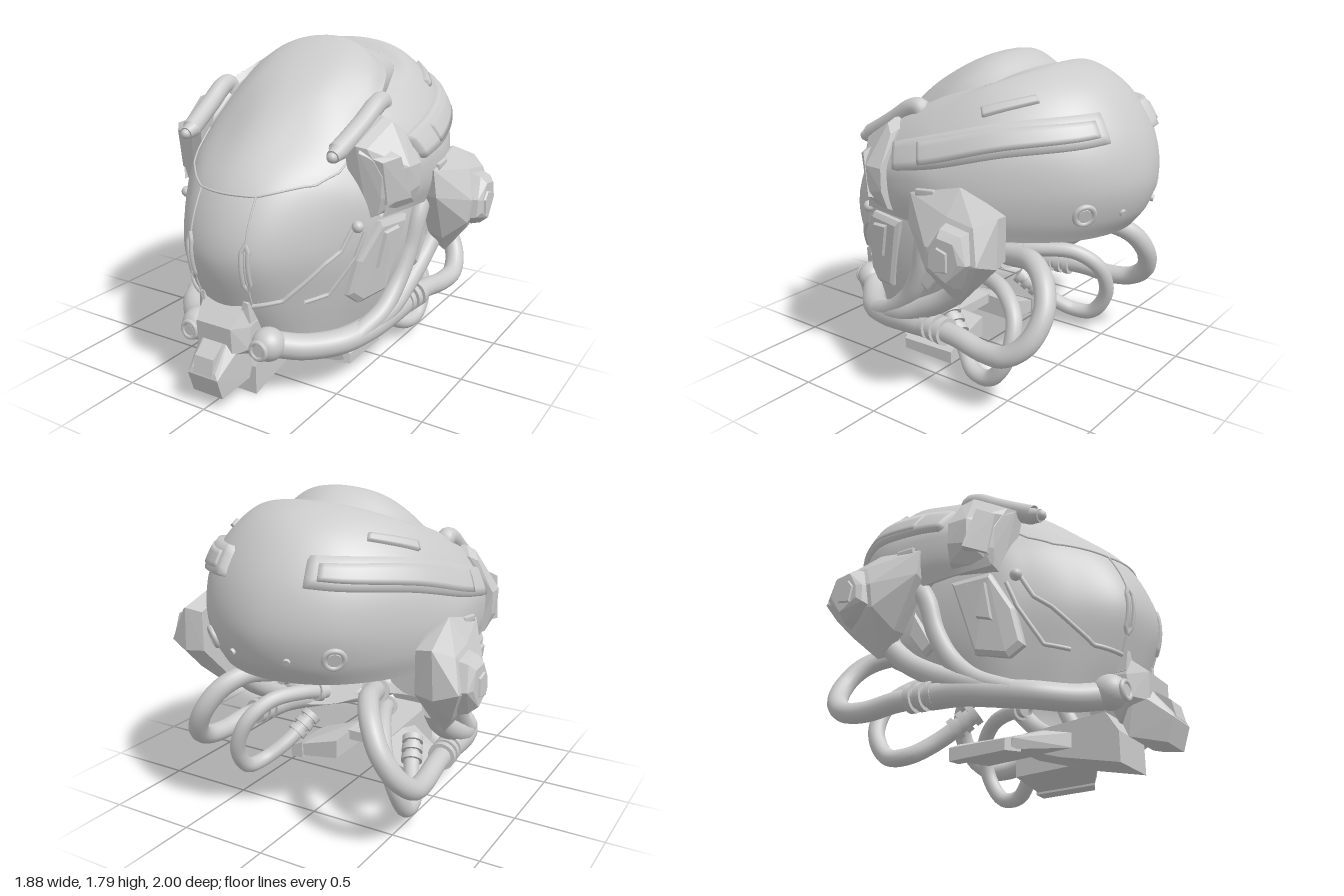
import * as THREE from 'three';
import { ConvexGeometry } from 'three/addons/geometries/ConvexGeometry.js';

const mat = new THREE.MeshStandardMaterial({ color: 0xcccccc, side: THREE.DoubleSide });
const V = (x, y, z) => new THREE.Vector3(x, y, z);
const vecs = (pts) => pts.map((p) => V(...p));
const CENTRE = V(0, 1, -0.1);
const { clamp, lerp } = THREE.MathUtils;

function add(parent, name, geometry) {
  const mesh = new THREE.Mesh(geometry, mat);
  mesh.name = name;
  parent.add(mesh);
  return mesh;
}

// Smooth symmetric surface through columns of points: u counts columns from the middle, v counts rows
function surface(columns) {
  const curves = columns.map((c) => new THREE.CatmullRomCurve3(vecs(c)));
  const n = columns.length - 1, rows = columns[0].length - 1;
  const at = (u, v) => {
    const half = curves.map((c) => c.getPoint(clamp(v / rows, 0, 1)));
    const other = half.slice(1).reverse().map((p) => V(-p.x, p.y, p.z));
    return new THREE.CatmullRomCurve3([...other, ...half]).getPoint(clamp((u + n) / (2 * n), 0, 1));
  };
  const normal = (u, v) => {
    const e = 0.03, p = at(u, v);
    const m = at(u + e, v).sub(at(u - e, v)).cross(at(u, v + e).sub(at(u, v - e))).normalize();
    return m.dot(p.sub(CENTRE)) < 0 ? m.negate() : m;
  };
  const off = (u, v, h) => at(u, v).addScaledVector(normal(u, v), h);
  return { at, normal, off, n, rows };
}

// Grid mesh from a function of two parameters in 0..1
function grid(fn, nu, nv, flip = false) {
  const pos = [], idx = [];
  for (let j = 0; j <= nv; j++) for (let i = 0; i <= nu; i++) pos.push(...fn(i / nu, j / nv).toArray());
  for (let j = 0; j < nv; j++) for (let i = 0; i < nu; i++) {
    const a = j * (nu + 1) + i, b = a + 1, c = a + nu + 1, d = c + 1;
    idx.push(...(flip ? [a, c, b, b, c, d] : [a, b, c, b, d, c]));
  }
  const g = new THREE.BufferGeometry();
  g.setAttribute('position', new THREE.Float32BufferAttribute(pos, 3));
  g.setIndex(idx);
  g.computeVertexNormals();
  return g;
}

// Plate standing proud of a surface with a steep border; top and bottom rows run from one end to the other
function raised(s, u0, u1, top, bottom, h, nu = 24, nv = 6) {
  const step = (t, n) => clamp((t * n - 1) / (n - 2), 0, 1);
  return grid((a, b) => {
    const edge = a === 0 || a === 1 || b === 0 || b === 1;
    const ta = edge ? a * 1.02 - 0.01 : 0.01 + step(a, nu) * 0.98;
    const tb = edge ? b * 1.1 - 0.05 : 0.03 + step(b, nv) * 0.94;
    return s.off(lerp(u0, u1, ta), lerp(lerp(...top, ta), lerp(...bottom, ta), tb), edge ? -0.01 : h);
  }, nu, nv);
}

const path = (pts) => new THREE.CatmullRomCurve3(vecs(pts));
const tube = (curve, r, seg = 48, sides = 14, closed = false) => new THREE.TubeGeometry(curve, seg, r, sides, closed);

// Thin bead that follows a surface through straight u,v runs
function bead(s, uv, r, closed = false) {
  const pts = [], list = closed ? [...uv, uv[0]] : uv;
  for (let i = 0; i < list.length - 1; i++) for (let k = 0; k < 6; k++) {
    const [u0, v0] = list[i], [u1, v1] = list[i + 1];
    pts.push(s.off(lerp(u0, u1, k / 6), lerp(v0, v1, k / 6), r * 0.4));
  }
  if (!closed) pts.push(s.off(...list.at(-1), r * 0.4));
  return tube(new THREE.CatmullRomCurve3(pts, closed), r, pts.length * 2, 6, closed);
}

// Faceted block from side outlines [z, y], each at its own x (number or rule)
const xAt = (x, z, y) => (typeof x === 'function' ? x(z, y) : x);
const layer = (poly, x) => poly.map(([z, y]) => V(xAt(x, z, y), y, z));
const both = (poly, x) => [...layer(poly, x), ...layer(poly, -x)];
const block = (...layers) => new ConvexGeometry(layers.flat());
const lift = (fn, d) => (z, y) => fn(z, y) + d;
const shrink = (poly, k) => {
  const c = [0, 1].map((i) => poly.reduce((t, p) => t + p[i], 0) / poly.length);
  return poly.map((p) => p.map((q, i) => c[i] + (q - c[i]) * k));
};

// Short cylinder, and a ring, facing along a direction
const Y = V(0, 1, 0), Z = V(0, 0, 1);
function disc(parent, name, p, dir, r, len, r2 = r) {
  const m = add(parent, name, new THREE.CylinderGeometry(r2, r, len, 24));
  m.position.copy(p);
  m.quaternion.setFromUnitVectors(Y, dir);
}
function ring(parent, name, p, dir, r, t) {
  const m = add(parent, name, new THREE.TorusGeometry(r, t, 8, 28));
  m.position.copy(p);
  m.quaternion.setFromUnitVectors(Z, dir);
}

export function createModel() {
  const model = new THREE.Group();
  model.name = 'helmet';

  // Rear shell: columns run from the arch over the visor down to the lower rim
  const shell = surface([
    [[0, 1.73, -.43], [0, 1.76, -.53], [0, 1.68, -.75], [0, 1.44, -.94], [0, 1.2, -1], [0, 1.03, -.96], [0, .92, -.88]],
    [[.2, 1.71, -.38], [.24, 1.735, -.49], [.29, 1.63, -.69], [.34, 1.42, -.835], [.35, 1.2, -.88], [.34, 1.03, -.84], [.32, .92, -.78]],
    [[.38, 1.66, -.28], [.44, 1.66, -.33], [.535, 1.55, -.44], [.615, 1.38, -.51], [.635, 1.2, -.53], [.62, 1.05, -.52], [.585, .93, -.49]],
    [[.47, 1.59, -.07], [.55, 1.54, -.1], [.645, 1.44, -.14], [.72, 1.3, -.2], [.735, 1.2, -.25], [.725, 1.07, -.25], [.685, .95, -.25]],
    [[.52, 1.47, .18], [.58, 1.43, .16], [.66, 1.35, .1], [.725, 1.25, .05], [.735, 1.17, .03], [.725, 1.07, .03], [.69, .97, .03]],
    [[.55, 1.32, .4], [.6, 1.29, .37], [.64, 1.25, .34], [.67, 1.18, .31], [.68, 1.13, .3], [.67, 1.06, .3], [.65, .98, .32]],
  ]);
  // Visor and lower face: columns run from under the arch down to the chin
  const face = surface([
    [[0, 1.72, -.42], [0, 1.8, -.22], [0, 1.64, .2], [0, 1.38, .53], [0, 1.12, .78], [0, .82, .885], [0, .55, .82], [0, .3, .7]],
    [[.2, 1.69, -.36], [.2, 1.765, -.18], [.21, 1.61, .18], [.21, 1.36, .47], [.21, 1.12, .72], [.21, .82, .83], [.2, .55, .76], [.17, .3, .66]],
    [[.36, 1.63, -.25], [.36, 1.655, -.1], [.36, 1.52, .16], [.38, 1.31, .4], [.39, 1.12, .56], [.39, .82, .64], [.36, .55, .6], [.31, .28, .55]],
    [[.45, 1.55, -.04], [.45, 1.5, .05], [.46, 1.4, .17], [.48, 1.25, .33], [.5, 1.08, .44], [.51, .82, .46], [.48, .55, .42], [.42, .27, .38]],
    [[.51, 1.43, .17], [.51, 1.38, .2], [.525, 1.3, .24], [.55, 1.18, .28], [.59, 1.04, .3], [.61, .84, .27], [.59, .58, .24], [.53, .32, .18]],
    [[.56, 1.3, .1], [.57, 1.26, .08], [.59, 1.2, .05], [.62, 1.1, .02], [.64, 1, -.05], [.65, .88, -.2], [.64, .74, -.28], [.58, .52, -.08]],
  ]);
  const whole = (s) => (a, b) => s.at((a * 2 - 1) * s.n, b * s.rows);
  add(model, 'rearShell', grid(whole(shell), 80, 44));
  add(model, 'visorAndFace', grid(whole(face), 80, 56, true));
  add(model, 'archRim', grid((a, b) => shell.at(a * 10 - 5, 0).lerp(face.at(a * 10 - 5, 0.15), b), 60, 2, true));
  add(model, 'lowerRim', grid((a, b) => {
    const p = shell.at(a * 10 - 5, 6);
    return V(p.x * (1 - .06 * b), p.y + .02 * b, p.z * (1 - .06 * b));
  }, 60, 1));
  add(model, 'visorSeam', bead(face, [[-3, 2.7], [-2.6, 3.4], [-2, 3.8], [-.8, 4], [.8, 4], [2, 3.8], [2.6, 3.4], [3, 2.7]], .006));

  // Snout, muzzle and tongue under the chin
  add(model, 'snout', block(both([[.7, .53], [.8, .54]], .135), both([[.7, .46], [.8, .44], [.7, .3], [.82, .32]], .165), both([[.9, .45], [.89, .3], [.72, .22]], .11)));
  add(model, 'muzzle', block(both([[.86, .4], [.99, .23]], .075), both([[1, .2], [.96, .08], [.85, .1]], .095), both([[.82, .36], [.75, .2], [.78, .13]], .135)));
  add(model, 'muzzleCap', block(both([[.9, .36], [.98, .3], [1, .21], [.9, .25]], .06)));
  add(model, 'tongue', block(both([[.73, .17], [.73, .01], [.4, .09], [.1, .19], [.1, .25], [.66, .28]], .14)));

  const side = new THREE.Group();
  side.name = 'leftSide';
  model.add(side);

  // Shell trim and ports
  add(side, 'sideStripe', raised(shell, .66, 4, [2.5, 1.95], [3.05, 3.15], .03, 40));
  add(side, 'stripeInsert', raised(shell, .8, 3.3, [2.62, 2.25], [2.94, 3], .037, 36));
  add(side, 'upperSlot', raised(shell, 1.4, 2.2, [1.78, 1.68], [1.98, 1.98], .016));
  add(side, 'lowerSlot', raised(shell, 3.1, 3.5, [4.1, 4.1], [4.4, 4.4], .016));
  ring(side, 'rearPort', shell.off(1.05, 4.7, .005), shell.normal(1.05, 4.7), .05, .014);
  disc(side, 'rearPortCore', shell.at(1.05, 4.7), shell.normal(1.05, 4.7), .035, .03);
  disc(side, 'rearStud', shell.at(.45, 4.8), shell.normal(.45, 4.8), .018, .03);

  // Face trim
  add(side, 'faceSeam', bead(face, [[.8, 4], [.8, 6]], .006));
  add(side, 'faceSlot', bead(face, [[.72, 4.85], [.8, 4.72], [.88, 4.85], [.88, 5.5], [.8, 5.62], [.72, 5.5]], .012, true));
  add(side, 'cheekRidge', bead(face, [[3.3, 4.5], [2.9, 5], [2.5, 5.2], [1.5, 5.9], [.8, 6]], .013));
  add(side, 'cheekRidgeLower', bead(face, [[3.6, 4.7], [3.3, 5.2], [2.6, 5.9], [2, 6]], .012));
  add(side, 'cheekBolt', new THREE.SphereGeometry(.032, 16, 12)).position.set(.56, .94, .41);

  // Temple armour, leaning in above, below and in front
  const temple = [[.39, 1.35], [.18, 1.47], [.12, 1.42], [.1, 1.0], [.33, .96]];
  const tx = (z, y) => .765 - .9 * Math.max(0, y - 1.29) - .4 * Math.max(0, 1.12 - y) - .9 * Math.max(0, z - .22);
  const waist = [[.34, 1.2], [.23, 1.24], [.12, 1.24], [.12, 1.12], [.23, 1.1], [.33, 1.08]];
  add(side, 'templeArmour', block(layer(temple, lift(tx, -.1)), layer(temple, lift(tx, -.03)), layer(shrink(temple, .9), tx), layer(waist, lift(tx, -.005))));
  const pane = [[.36, 1.29], [.27, 1.32], [.2, 1.06], [.31, 1.03]];
  add(side, 'templePane', block(layer(pane, lift(tx, -.03)), layer(shrink(pane, .85), lift(tx, .012))));
  add(side, 'browPipe', tube(path([[.49, 1.46, .05], [.5, 1.52, .07], [.5, 1.515, .12], [.49, 1.44, .25], [.475, 1.37, .38], [.465, 1.33, .46]]), .052));
  disc(side, 'browPipeBolt', V(.465, 1.32, .475), V(0, -.3, 1).normalize(), .045, .06, .035);
  add(side, 'browPipeTip', new THREE.SphereGeometry(.028, 14, 10)).position.set(.465, 1.31, .51);

  // Cheek plates
  const cx = (z, y) => .605 - .1 * (z - .26) - .4 * Math.max(0, z - .26) + .12 * (y - .8);
  const cheek = [[.3, .95], [.085, .94], [.2, .53], [.36, .5], [.43, .56], [.4, .75]];
  add(side, 'cheekPlate', block(layer(cheek, lift(cx, .005)), layer(cheek, lift(cx, .03)), layer(shrink(cheek, .88), lift(cx, .047))));
  const slot = [[.29, .9], [.17, .91], [.23, .7], [.31, .68]];
  add(side, 'cheekSlot', block(layer(slot, lift(cx, .03)), layer(shrink(slot, .85), lift(cx, .06))));
  const vent = [[-.03, .62], [-.17, .85], [-.2, .72], [-.09, .58]];
  add(side, 'vent', block(layer(vent, .63), layer(vent, .65), layer(shrink(vent, .8), .665)));

  // Ear cup, domed towards its cap
  const earMid = [[-.07, 1.15], [-.07, 1.0], [-.22, .72], [-.35, .6], [-.53, .78], [-.62, .87], [-.62, 1.12], [-.37, 1.22]];
  const earOut = [[-.28, .95], [-.37, 1.1], [-.54, 1.08], [-.59, .91], [-.46, .72], [-.27, .82]];
  const dome = (x, slope, flat) => (z, y) => x - slope * Math.max(0, Math.abs(y - .93) - flat);
  add(side, 'earCup', block(layer(shrink(earMid, .9), .66), layer(earMid, dome(.77, .3, .15)), layer(earOut, dome(.89, .75, .09))));
  add(side, 'earCap', block(layer(shrink(earOut, .85), dome(.87, .5, .09)), layer(shrink(earOut, .76), dome(.915, .4, .08)), layer(shrink(earOut, .56), .932)));
  const badge = [[-.35, .94], [-.39, .99], [-.46, .97], [-.46, .86], [-.37, .84]];
  add(side, 'earBadge', block(layer(badge, .92), layer(shrink(badge, .8), .942)));

  // Jaw pod and hoses
  add(side, 'jawPod', new THREE.SphereGeometry(.09, 24, 18)).position.set(.23, .335, .74);
  ring(side, 'jawPodRing', V(.225, .33, .822), Z, .045, .014);
  disc(side, 'jawPodCore', V(.225, .33, .815), Z, .032, .03);
  add(side, 'jawPipe', tube(path([[.24, .32, .7], [.36, .295, .6], [.49, .3, .46], [.56, .32, .3], [.6, .35, .12], [.61, .365, -.06]]), .07));
  add(side, 'cheekHose', tube(path([[.55, .32, .38], [.6, .4, .2], [.62, .53, .06], [.64, .7, -.03], [.66, .88, -.08], [.66, 1, -.15]]), .052));
  add(side, 'earHose', tube(path([[.56, .33, .32], [.61, .39, .14], [.62, .47, -.04], [.63, .58, -.22], [.65, .72, -.36]]), .058));
  const loops = {
    rearHose: [[[.61, .37, -.04], [.64, .37, -.28], [.66, .35, -.46], [.67, .37, -.6], [.63, .46, -.71], [.55, .6, -.745], [.47, .72, -.69], [.39, .78, -.57], [.33, .76, -.42], [.28, .73, -.28]], .056],
    lowerHose: [[[.35, .34, .02], [.43, .2, -.15], [.51, .12, -.28], [.53, .13, -.41], [.52, .28, -.51], [.45, .46, -.5], [.37, .56, -.38], [.28, .57, -.2], [.21, .54, -.03]], .045],
  };
  for (const [name, [pts, r]] of Object.entries(loops)) {
    const curve = path(pts);
    add(side, name, tube(curve, r, 80));
    for (const t of [.01, .05, .09, .96]) disc(side, name + 'Collar', curve.getPointAt(t), curve.getTangentAt(t), r * 1.35, .035);
  }

  // Bracket beside the tongue
  add(side, 'bracketArm', block(vecs([[.13, .13, .47], [.13, .21, .47], [.13, .255, .3], [.13, .235, -.05], [.13, .12, -.05],
    [.42, .08, .28], [.42, .135, .3], [.42, .15, -.06], [.42, .08, -.06]])));
  add(side, 'bracketEnd', block(vecs([[.37, .075, .31], [.37, .16, .31], [.37, .075, -.07], [.37, .18, -.07],
    [.45, .07, .27], [.45, .13, .27], [.45, .07, -.07], [.45, .14, -.07]])));
  add(side, 'snoutHorn', block(vecs([[.11, .46, .82], [.165, .46, .8], [.125, .575, .81], [.155, .57, .81],
    [.11, .46, .72], [.165, .46, .72], [.125, .57, .74], [.155, .57, .74]])));

  // Mirror every paired part
  const right = side.clone();
  right.name = 'rightSide';
  right.scale.x = -1;
  model.add(right);
  return model;
}
